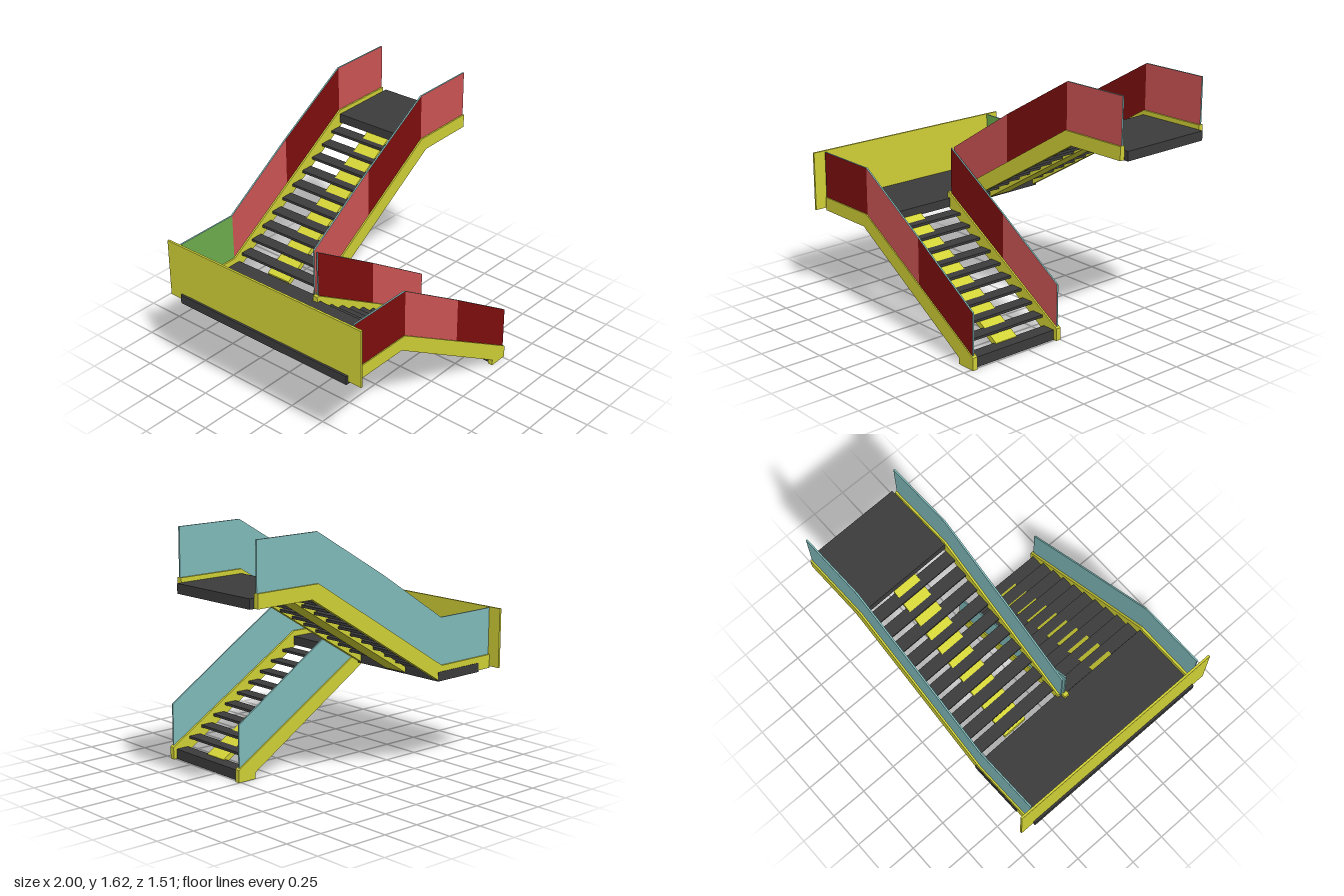
import * as THREE from 'three';

const mat = (name, color) => {
  const m = new THREE.MeshStandardMaterial({ color });
  m.name = name;
  return m;
};

export function createModel() {
  const yellow = mat('yellow', 0xd2d237);
  const grey = mat('charcoal', 0x3c3c3c);
  const teal = mat('teal', 0x82bcbc);
  const darkRed = mat('dark red', 0x800e0e);
  const lightRed = mat('light red', 0xd05656);
  const green = mat('green', 0x70b050);

  const model = new THREE.Group();
  const W = 0.033; // stringer width

  const add = (parent, name, geometry, material) => {
    const mesh = new THREE.Mesh(geometry, material);
    mesh.name = name;
    parent.add(mesh);
    return mesh;
  };
  const box = (parent, name, x0, x1, y0, y1, z0, z1, material) => {
    const mesh = add(parent, name, new THREE.BoxGeometry(x1 - x0, y1 - y0, z1 - z0), material);
    mesh.position.set((x0 + x1) / 2, (y0 + y1) / 2, (z0 + z1) / 2);
  };
  const outline = (points) => new THREE.Shape(points.map(([x, y]) => new THREE.Vector2(x, y)));
  // side outline in x and y, thickened from z0 to z1
  const slab = (parent, name, points, z0, z1, material) => {
    const geometry = new THREE.ExtrudeGeometry(outline(points), { depth: z1 - z0, bevelEnabled: false });
    add(parent, name, geometry, material).position.z = z0;
  };
  // run of glazed panels; stations are [x, bottom, top], one front colour per bay
  const panels = (parent, z, stations, colours) => colours.forEach((colour, i) => {
    const [xa, ba, ta] = stations[i], [xb, bb, tb] = stations[i + 1];
    const points = [[xa, ba - 0.01], [xb, bb - 0.01], [xb, tb], [xa, ta]];
    slab(parent, 'railingPanel', points, z - 0.005, z + 0.005, teal);
    add(parent, 'railingPanelFront', new THREE.ShapeGeometry(outline(points)), colour).position.z = z + 0.0062;
  });

  // Lower flight
  const lower = new THREE.Group();
  lower.name = 'lowerFlight';
  model.add(lower);
  const lowerFoot = [[0.515, 0.08], [0.503, 0.088]];
  const lowerBase = [[0.385, 0.04], [0.385, 0], [0.515, 0]];
  slab(lower, 'outerStringer', [[-0.955, 0.697], [-0.955, 0.61], [-0.545, 0.61],
    ...lowerBase, ...lowerFoot, [-0.515, 0.697]], 0.66, 0.66 + W, yellow);
  slab(lower, 'innerStringer', [[-0.535, 0.697], [-0.535, 0.605],
    ...lowerBase, ...lowerFoot, [-0.515, 0.697]], 0, W, yellow);
  const lowerRail = [[-0.955, 0.697, 0.996], [-0.51, 0.697, 0.996], [0, 0.392, 0.682], [0.503, 0.088, 0.362]];
  panels(lower, 0.68, lowerRail, [darkRed, lightRed, darkRed]);
  panels(lower, 0.016, lowerRail.slice(1), [darkRed, lightRed]);

  box(lower, 'bottomStep', 0.4, 0.49, 0, 0.065, W, 0.66, grey);
  for (let i = 1; i < 10; i++) {
    const x = 0.4 - 0.0993 * i, y = 0.067 + 0.0567 * i;
    box(lower, 'tread', x, x + 0.087, y - 0.008, y + 0.008, W, 0.66, grey);
  }
  slab(lower, 'centreBeam', [[-0.51, 0.611], [-0.51, 0.572], [0.42, 0.03], [0.42, 0.069]], 0.27, 0.435, yellow);

  // Half landing and its end wall
  box(model, 'landing', -1, -0.51, 0.602, 0.66, -0.66, 0.66, grey);
  box(model, 'landingEndWall', -0.986, -0.972, 0.62, 1.0, -0.757, 0.757, yellow);

  // Upper flight, turned very slightly
  const upper = new THREE.Group();
  upper.name = 'upperFlight';
  upper.rotation.y = 0.018;
  model.add(upper);
  const upperTop = [[0.568, 1.246], [0.97, 1.246], [0.97, 1.332], [0.52, 1.332]];
  slab(upper, 'outerStringer', [[-0.955, 0.697], [-0.955, 0.61], [-0.48, 0.61],
    ...upperTop, [-0.515, 0.697]], -0.669 - W, -0.669, yellow);
  slab(upper, 'innerStringer', [[-0.5, 0.705], [-0.5, 0.61], [-0.48, 0.61],
    ...upperTop], -0.004 - W, -0.004, yellow);
  const upperRail = [[-0.955, 0.697, 0.996], [-0.51, 0.697, 0.996], [0, 1.017, 1.32],
    [0.522, 1.332, 1.625], [0.968, 1.332, 1.625]];
  panels(upper, -0.686, upperRail, [green, lightRed, darkRed, lightRed]);
  panels(upper, -0.02, upperRail.slice(1), [lightRed, darkRed, lightRed]);

  for (let i = 0; i < 10; i++) {
    const x = 0.433 - 0.0985 * i, y = 1.21 - 0.0567 * i;
    box(upper, 'tread', x, x + 0.082, y - 0.008, y + 0.008, -0.669, -0.037, grey);
  }
  slab(upper, 'centreBeam', [[-0.46, 0.652], [-0.46, 0.615], [0.52, 1.208], [0.52, 1.245]], -0.445, -0.275, yellow);
  box(upper, 'landingExtension', -0.85, -0.478, 0.601, 0.659, -0.705, -0.004, grey);
  box(upper, 'topPlatform', 0.52, 1.0, 1.244, 1.304, -0.669, -0.037, grey);

  return model;
}
